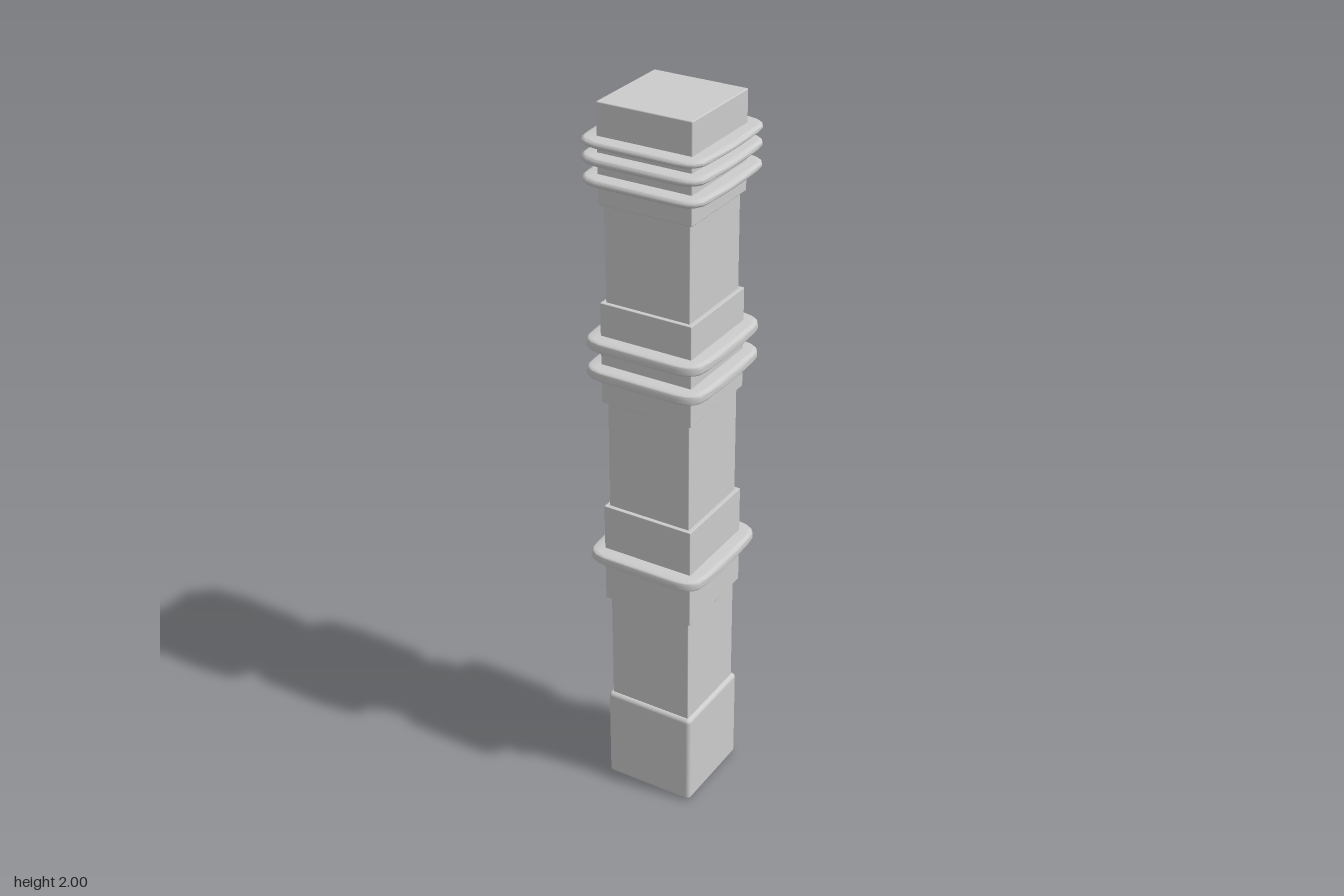
import * as THREE from 'three';
import { toCreasedNormals } from 'three/addons/utils/BufferGeometryUtils.js';
import { RoundedBoxGeometry } from 'three/addons/geometries/RoundedBoxGeometry.js';

const material = new THREE.MeshStandardMaterial({ color: 0xcccccc });

// Square block between two heights, with softened edges
function block(name, half, bottom, top, radius) {
  const geometry = new RoundedBoxGeometry(half * 2, top - bottom, half * 2, 4, radius);
  const mesh = new THREE.Mesh(geometry, material);
  mesh.name = name;
  mesh.position.y = (bottom + top) / 2;
  return mesh;
}

// One quarter of the ring outline: bowed side, rounded corner, straight front
const quarter = [[0.175, 0], [0.174, 0.05], [0.171, 0.11], [0.167, 0.14],
  [0.156, 0.158], [0.138, 0.169], [0.11, 0.175]];

function ringOutline() {
  const back = [...quarter].reverse();
  const points = [
    ...quarter,
    ...back.map(([x, z]) => [-x, z]),
    ...quarter.slice(1).map(([x, z]) => [-x, -z]),
    ...back.slice(0, -1).map(([x, z]) => [x, -z]),
  ];
  return new THREE.Shape(points.map(([x, z]) => new THREE.Vector2(x, z)));
}

// Thin projecting ring with a rounded rim
function ring(name, y, height) {
  const bevel = height * 0.42;
  const geometry = new THREE.ExtrudeGeometry(ringOutline(), {
    depth: height - 2 * bevel, bevelEnabled: true, bevelThickness: bevel,
    bevelSize: 0.012, bevelOffset: -0.012, bevelSegments: 5,
  });
  geometry.translate(0, 0, bevel - height / 2);
  geometry.rotateX(-Math.PI / 2);
  const mesh = new THREE.Mesh(toCreasedNormals(geometry, 0.8), material);
  mesh.name = name;
  mesh.position.y = y;
  return mesh;
}

export function createModel() {
  const group = new THREE.Group();
  group.name = 'column';

  // Shaft and foot
  group.add(block('base', 0.131, 0, 0.28, 0.012));
  group.add(block('shaft', 0.12, 0.2, 1.8, 0.002));

  // Wider collars around the shaft
  group.add(block('lowerCollar', 0.131, 0.6, 0.89, 0.002));
  group.add(block('middleCollar', 0.131, 1.2, 1.48, 0.002));
  group.add(block('capital', 0.131, 1.74, 2, 0.003));

  // Projecting rings: height on the column, thickness
  const rings = [[0.745, 0.03], [1.295, 0.03], [1.375, 0.03],
    [1.81, 0.019], [1.864, 0.02], [1.907, 0.017]];
  rings.forEach(([y, height], i) => group.add(ring(`ring${i + 1}`, y, height)));

  return group;
}
